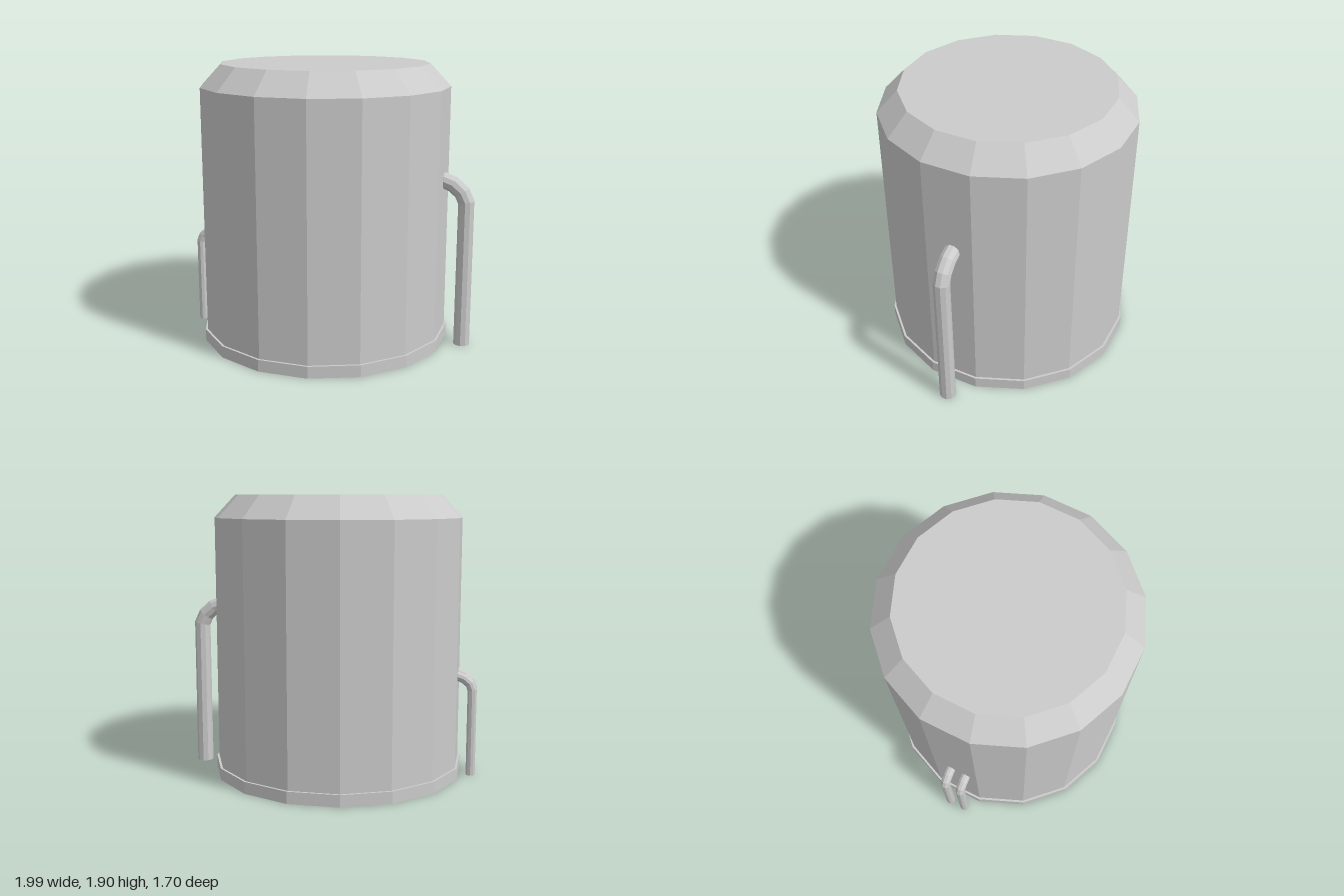
import * as THREE from 'three';

const material = new THREE.MeshStandardMaterial({ color: 0xcccccc, flatShading: true });
const PIPE_SIDES = 10;

// Polyline path whose rings sit exactly on its corners
class CornerPath extends THREE.Curve {
  constructor(points) {
    super();
    this.points = points;
  }
  getPoint(t) {
    const n = this.points.length - 1;
    const i = Math.min(Math.floor(t * n + 1e-6), n - 1);
    return this.points[i].clone().lerp(this.points[i + 1], t * n - i);
  }
  getPointAt(u) {
    return this.getPoint(u);
  }
  getTangentAt(u) {
    const n = this.points.length - 1;
    const i = Math.round(u * n);
    const sum = new THREE.Vector3();
    for (const k of [i - 1, i]) {
      if (k < 0 || k >= n) continue;
      sum.add(this.points[k + 1].clone().sub(this.points[k]).normalize());
    }
    return sum.normalize();
  }
}

// Pipe that leaves the tank wall, bends down and ends on the ground
function makePipe(name, profile, radius, z) {
  const pipe = new THREE.Group();
  pipe.name = name;
  const points = profile.map(([x, y]) => new THREE.Vector3(x, y, z));
  const tube = new THREE.Mesh(
    new THREE.TubeGeometry(new CornerPath(points), points.length - 1, radius, PIPE_SIDES), material);
  tube.name = name + 'Tube';

  const end = points[points.length - 1];
  const capGeometry = new THREE.CircleGeometry(radius, PIPE_SIDES).rotateX(Math.PI / 2).rotateY(Math.PI / 2);
  const cap = new THREE.Mesh(capGeometry, material);
  cap.name = name + 'End';
  cap.position.copy(end);
  pipe.add(tube, cap);
  return pipe;
}

export function createModel() {
  const model = new THREE.Group();
  model.name = 'storageTank';

  // Tank: base rim, straight wall and bevelled roof, all sixteen-sided
  const tank = new THREE.Group();
  tank.name = 'tank';
  tank.position.x = -0.04;
  tank.rotation.y = THREE.MathUtils.degToRad(9.6);
  const sections = [
    ['baseRim', 0.86, 0.86, 0, 0.08],
    ['tankWall', 0.845, 0.845, 0.08, 1.75],
    ['bevelledRoof', 0.705, 0.845, 1.75, 1.9],
  ];
  for (const [name, top, bottom, y0, y1] of sections) {
    const mesh = new THREE.Mesh(new THREE.CylinderGeometry(top, bottom, y1 - y0, 16), material);
    mesh.name = name;
    mesh.position.y = (y0 + y1) / 2;
    tank.add(mesh);
  }
  model.add(tank);

  // Large pipe on the left side
  const large = [[0.7, 1.14], [0.79, 1.14], [0.85, 1.118], [0.91, 1.065], [0.94, 1.0], [0.94, 0]];
  model.add(makePipe('largePipe', large, 0.055, 0));

  // Pair of small pipes on the right side
  const small = [[-0.8, 0.685], [-0.87, 0.685], [-0.908, 0.672], [-0.95, 0.637], [-0.967, 0.595], [-0.967, 0]];
  model.add(makePipe('smallPipeFront', small, 0.033, 0.055));
  model.add(makePipe('smallPipeBack', small, 0.033, -0.06));

  return model;
}
